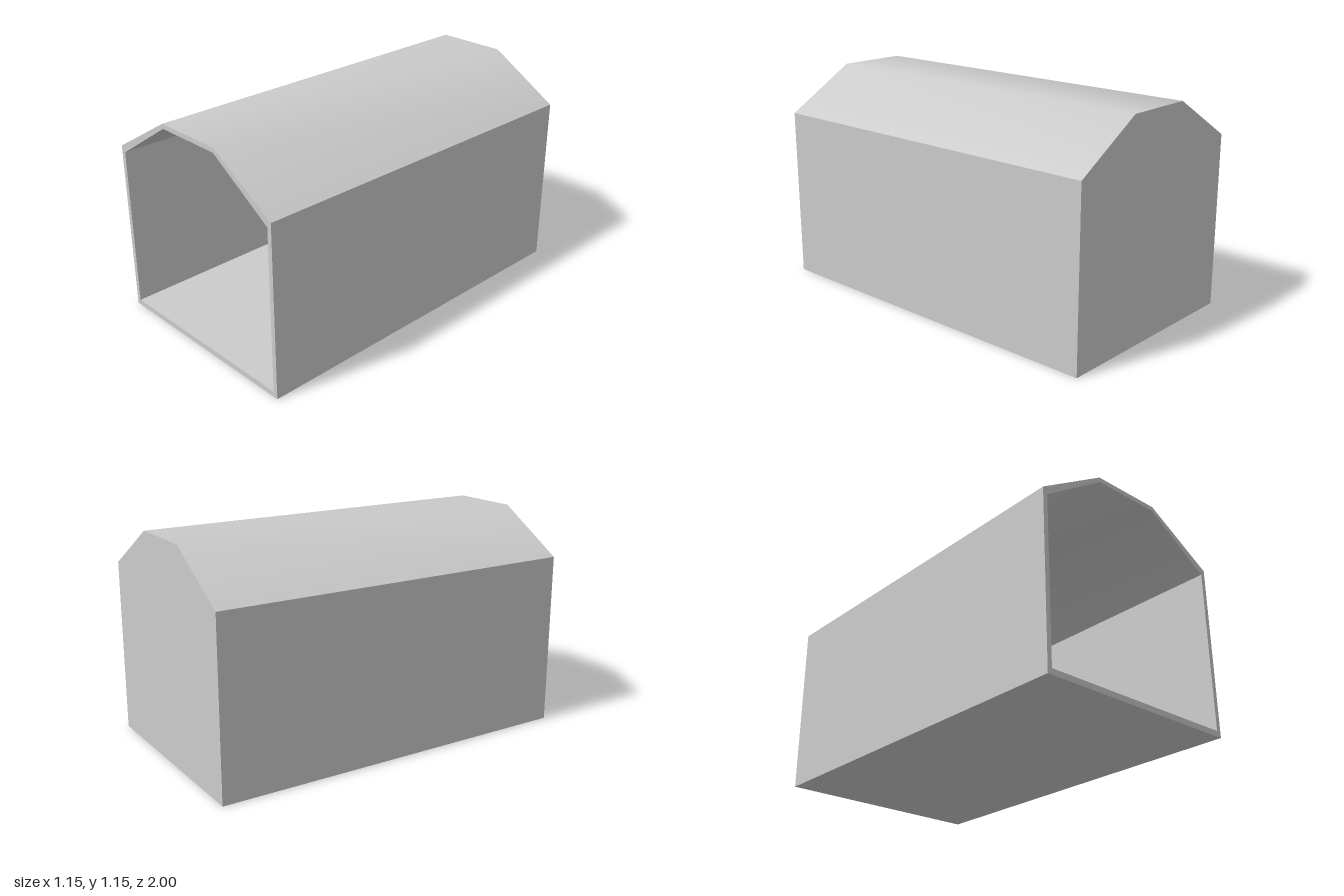
import * as THREE from 'three';
import { toCreasedNormals } from 'three/addons/utils/BufferGeometryUtils.js';

// Half-barn cross-section, counter-clockwise from the bottom left
const section = (w, floor, eave, top, ridge) => [
  [-w, floor], [w, floor], [w, eave], [ridge, top], [-ridge, top], [-w, eave],
].map(([x, y]) => new THREE.Vector2(x, y));

const OUTER = section(0.575, 0, 0.922, 1.15, 0.193);
const INNER = section(0.55, 0.03, 0.892, 1.125, 0.19);
const FRONT = 1, BACK = -1, WALL = 0.03;

// Open-ended skin between two depths; the roof is smooth, the eaves are sharp
function skin(points, z0, z1) {
  const pos = [];
  points.forEach((a, i) => {
    const b = points[(i + 1) % points.length];
    pos.push(a.x, a.y, z0, b.x, b.y, z0, b.x, b.y, z1);
    pos.push(a.x, a.y, z0, b.x, b.y, z1, a.x, a.y, z1);
  });
  const geo = new THREE.BufferGeometry();
  geo.setAttribute('position', new THREE.Float32BufferAttribute(pos, 3));
  return toCreasedNormals(geo, Math.PI / 4);
}

export function createModel() {
  const group = new THREE.Group();
  group.name = 'shelter';
  const material = new THREE.MeshStandardMaterial({ color: 0xcccccc });
  const add = (name, geo) => {
    const mesh = new THREE.Mesh(geo, material);
    mesh.name = name;
    group.add(mesh);
  };

  // Walls, floor and roof, outside and inside (reversed to face inward)
  add('outerShell', skin(OUTER, BACK, FRONT));
  add('innerShell', skin([...INNER].reverse(), BACK + WALL, FRONT));

  // Thin rim round the open front
  const rim = new THREE.Shape(OUTER);
  rim.holes.push(new THREE.Path(INNER));
  add('frontRim', new THREE.ShapeGeometry(rim).translate(0, 0, FRONT));

  // Closed back end
  add('backWall', new THREE.ShapeGeometry(new THREE.Shape(OUTER)).rotateY(Math.PI).translate(0, 0, BACK));
  add('innerBackWall', new THREE.ShapeGeometry(new THREE.Shape(INNER)).translate(0, 0, BACK + WALL));

  return group;
}
